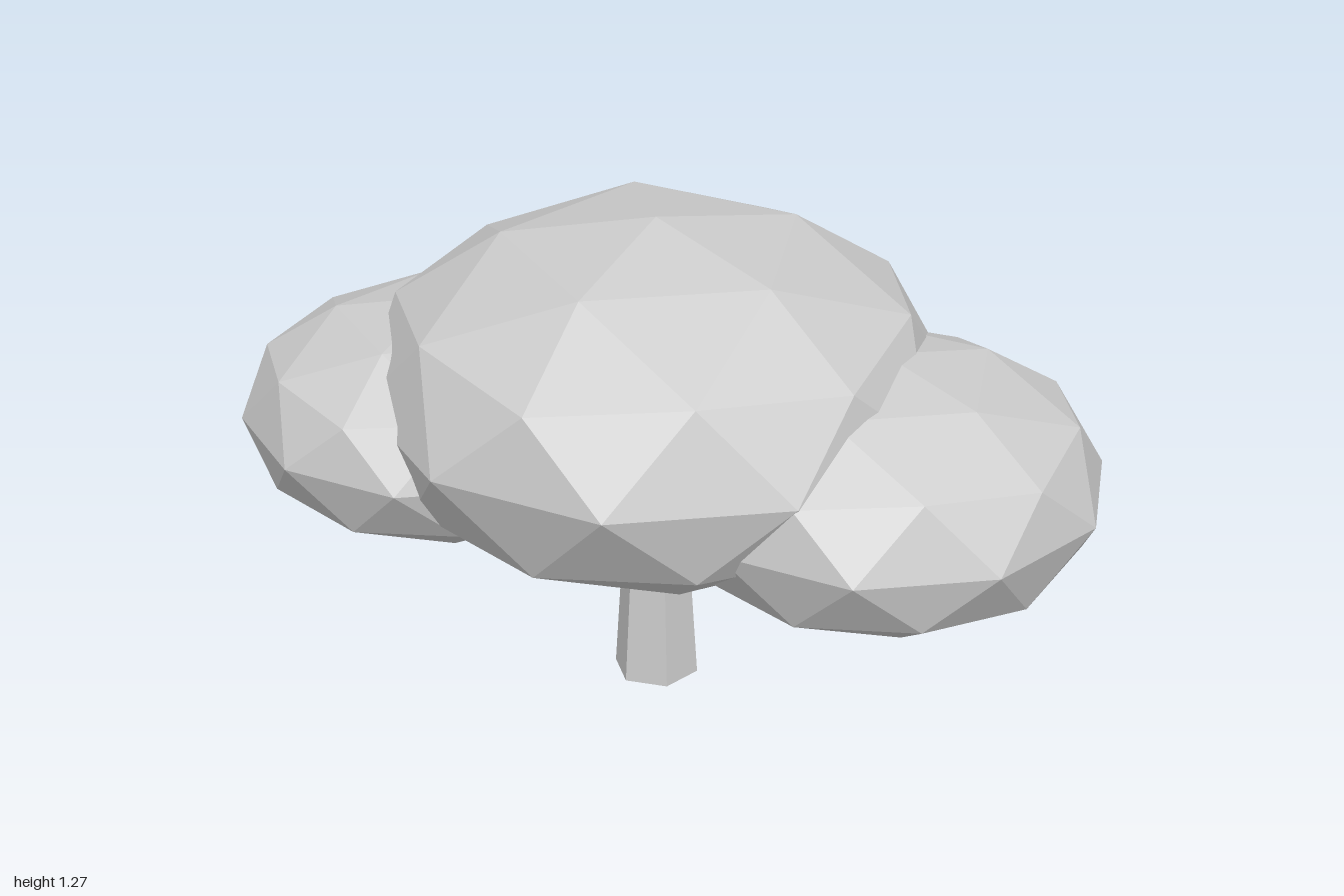
import * as THREE from 'three';

const material = new THREE.MeshStandardMaterial({ color: 0xcccccc, flatShading: true });

// Squashed low-poly ball of leaves with one corner straight up
function foliage(name, radius, height, x, y, z) {
  const geometry = new THREE.IcosahedronGeometry(1, 1);
  geometry.rotateZ(-Math.atan(2 / (1 + Math.sqrt(5))));
  geometry.scale(radius, height, radius);
  geometry.computeVertexNormals();
  const mesh = new THREE.Mesh(geometry, material);
  mesh.name = name;
  mesh.position.set(x, y, z);
  return mesh;
}

export function createModel() {
  const tree = new THREE.Group();
  tree.name = 'tree';

  // Tapered six-sided trunk, its top hidden in the crown
  const trunkHeight = 0.7;
  const trunk = new THREE.Mesh(
    new THREE.CylinderGeometry(0.066, 0.11, trunkHeight, 6), material);
  trunk.name = 'trunk';
  trunk.position.set(-0.065, trunkHeight / 2, -0.005);
  tree.add(trunk);

  // Large central crown with a smaller clump on either side
  tree.add(
    foliage('mainFoliage', 0.736, 0.45, -0.065, 0.818, -0.008),
    foliage('rightFoliage', 0.505, 0.3, -0.52, 0.707, 0.305),
    foliage('leftFoliage', 0.563, 0.333, 0.465, 0.667, -0.252),
  );
  return tree;
}
